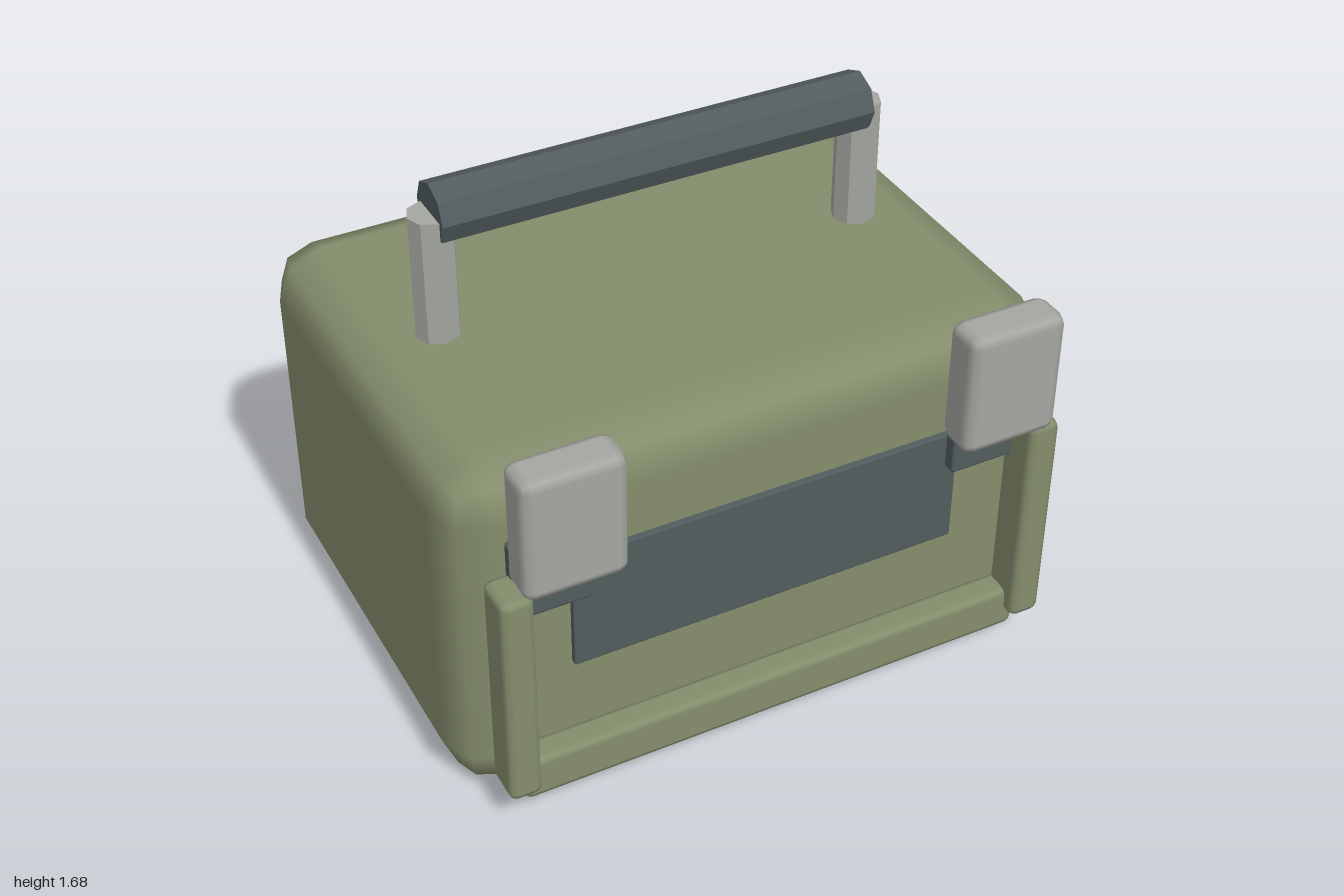
import * as THREE from 'three';
import { RoundedBoxGeometry } from 'three/addons/geometries/RoundedBoxGeometry.js';

const material = (name, color) => {
  const m = new THREE.MeshStandardMaterial({ color });
  m.name = name;
  return m;
};

export function createModel() {
  const olive = material('olive', 0x848d6c);
  const slate = material('slate', 0x525c5e);
  const silver = material('silver', 0xa4a6a1);
  const model = new THREE.Group();
  model.name = 'carryCase';

  // Bevelled box given by its limits on each axis
  const box = (name, mat, [x0, x1], [y0, y1], [z0, z1], radius) => {
    const mesh = new THREE.Mesh(
      new RoundedBoxGeometry(x1 - x0, y1 - y0, z1 - z0, 1, radius), mat);
    mesh.position.set((x0 + x1) / 2, (y0 + y1) / 2, (z0 + z1) / 2);
    mesh.name = name;
    model.add(mesh);
  };

  // Eight-sided faceted rod
  const rod = (name, mat, radius, length, x, y, z) => {
    const geometry = new THREE.CylinderGeometry(radius, radius, length, 8).toNonIndexed();
    geometry.computeVertexNormals();
    const mesh = new THREE.Mesh(geometry, mat);
    mesh.position.set(x, y, z);
    mesh.name = name;
    model.add(mesh);
    return mesh;
  };

  // Case and front panel
  box('caseBody', olive, [-1, 1], [0, 1.18], [-0.835, 0.635], 0.155);
  box('frontPanel', slate, [-0.64, 0.64], [0.45, 0.85], [0.625, 0.655], 0.005);
  box('bottomRail', olive, [-0.85, 0.85], [0.07, 0.22], [0.645, 0.745], 0.025);

  // Side rails, latches and handle posts, mirrored
  for (const s of [1, -1]) {
    const side = s > 0 ? 'left' : 'right';
    const span = (a, b) => (s > 0 ? [a, b] : [-b, -a]);
    box(side + 'Rail', olive, span(0.81, 0.915), [0.135, 0.885], [0.65, 0.79], 0.025);
    box(side + 'LatchPlate', slate, span(0.6, 0.84), [0.73, 0.99], [0.645, 0.695], 0.01);
    box(side + 'Latch', silver, span(0.54, 0.86), [0.905, 1.315], [0.695, 0.835], 0.035);
    rod(side + 'HandlePost', silver, 0.07, 0.43, s * 0.705, 1.375, -0.1);
  }

  // Carrying grip
  rod('handleGrip', slate, 0.095, 1.41, 0, 1.59, -0.1).rotation.z = Math.PI / 2;

  return model;
}
